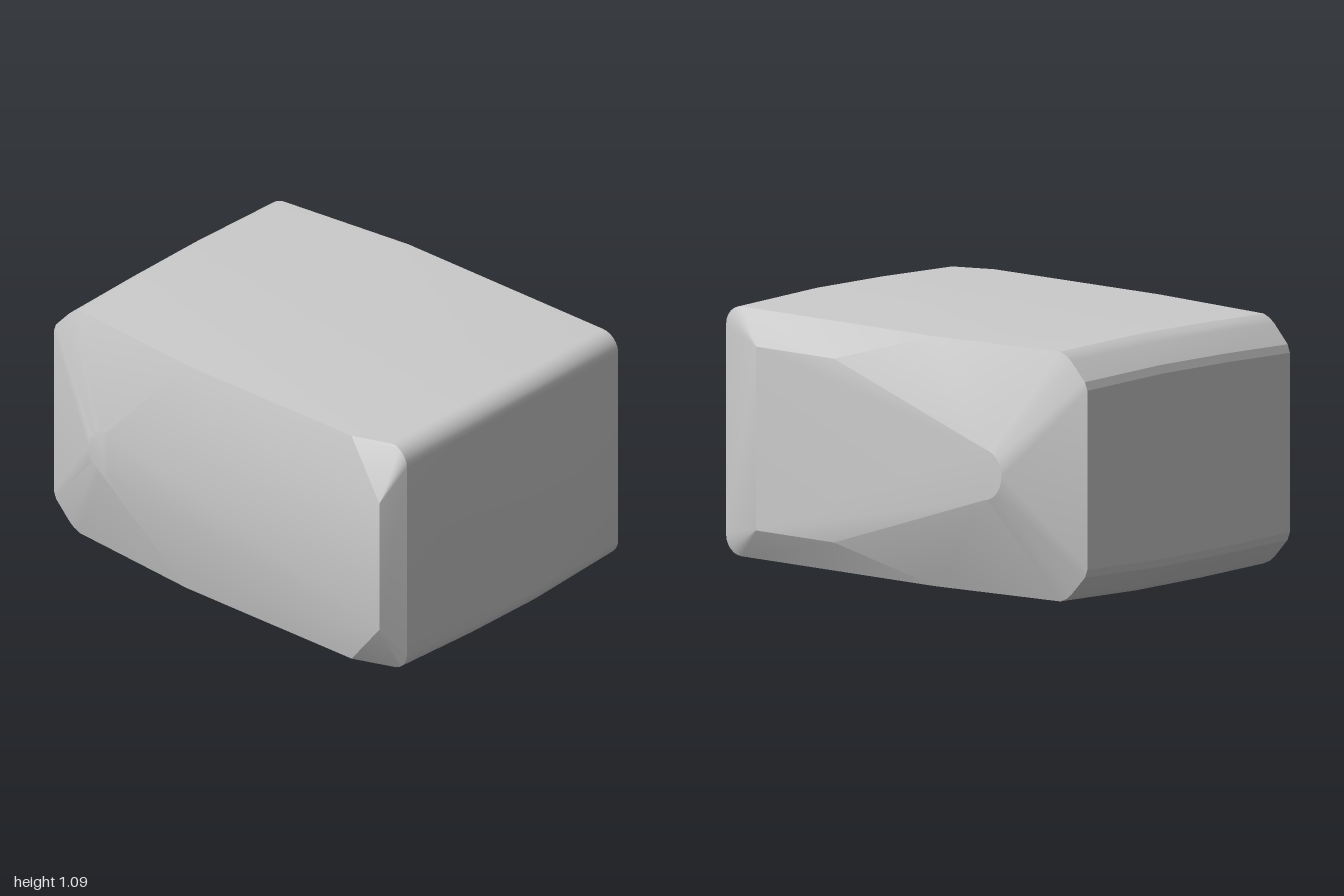
import * as THREE from 'three';
import { ConvexGeometry } from 'three/addons/geometries/ConvexGeometry.js';
import { toCreasedNormals } from 'three/addons/utils/BufferGeometryUtils.js';

const MID = 0.55; // height of the horizontal mirror plane

export function createModel() {
  const group = new THREE.Group();
  const points = [];

  // adds a point and its mirror image below the middle
  const pair = (x, h, z) => {
    points.push(new THREE.Vector3(x, MID + h, z), new THREE.Vector3(x, MID - h, z));
  };

  // upper half of the outline: bevelled left corner, rounded right corner
  const outline = [[-0.998, 0.38], [-0.985, 0.415], [-0.91, 0.495], [-0.885, 0.515], [-0.85, 0.53]];
  for (let i = 0; i <= 6; i++) {
    const a = (Math.PI / 2) * (1 - i / 6);
    outline.push([0.9 + 0.085 * Math.cos(a), 0.445 + 0.085 * Math.sin(a)]);
  }

  // body: outline at both rims, swelling slightly at the middle
  for (const [x, h] of outline) {
    const t = (x + 1) / 2;
    pair(x, h, 0.65 + 0.022 * t);
    pair(x, h, -0.625 - 0.045 * t);
    const edge = Math.min(1, Math.max(0, x) / 0.98);
    pair(x + 0.012 * edge, h + 0.01, 0.25);
    pair(x + 0.015 * edge, h + 0.013, -0.15);
  }

  // front: bulging rim, sloping panel and the round nose at its narrow end
  pair(-0.2, 0.53, 0.72);
  pair(0.73, 0.53, 0.732);
  pair(0.93, 0.3, 0.785);

  // back: the same idea with a wider panel
  pair(-0.2, 0.53, -0.69);
  pair(0.29, 0.39, -0.772);
  pair(0.735, 0.39, -0.762);

  for (let i = 0; i <= 8; i++) {
    const a = (Math.PI / 2) * (1 + i / 8);
    const x = -0.565 + 0.11 * Math.cos(a);
    const h = 0.11 * Math.sin(a);
    pair(x, h, 0.798);
    pair(x, h, -0.803);
  }

  const geometry = toCreasedNormals(new ConvexGeometry(points), 0.3);
  const body = new THREE.Mesh(geometry, new THREE.MeshStandardMaterial({ color: 0xcccccc }));
  body.name = 'facetedBlock';
  group.add(body);
  return group;
}
